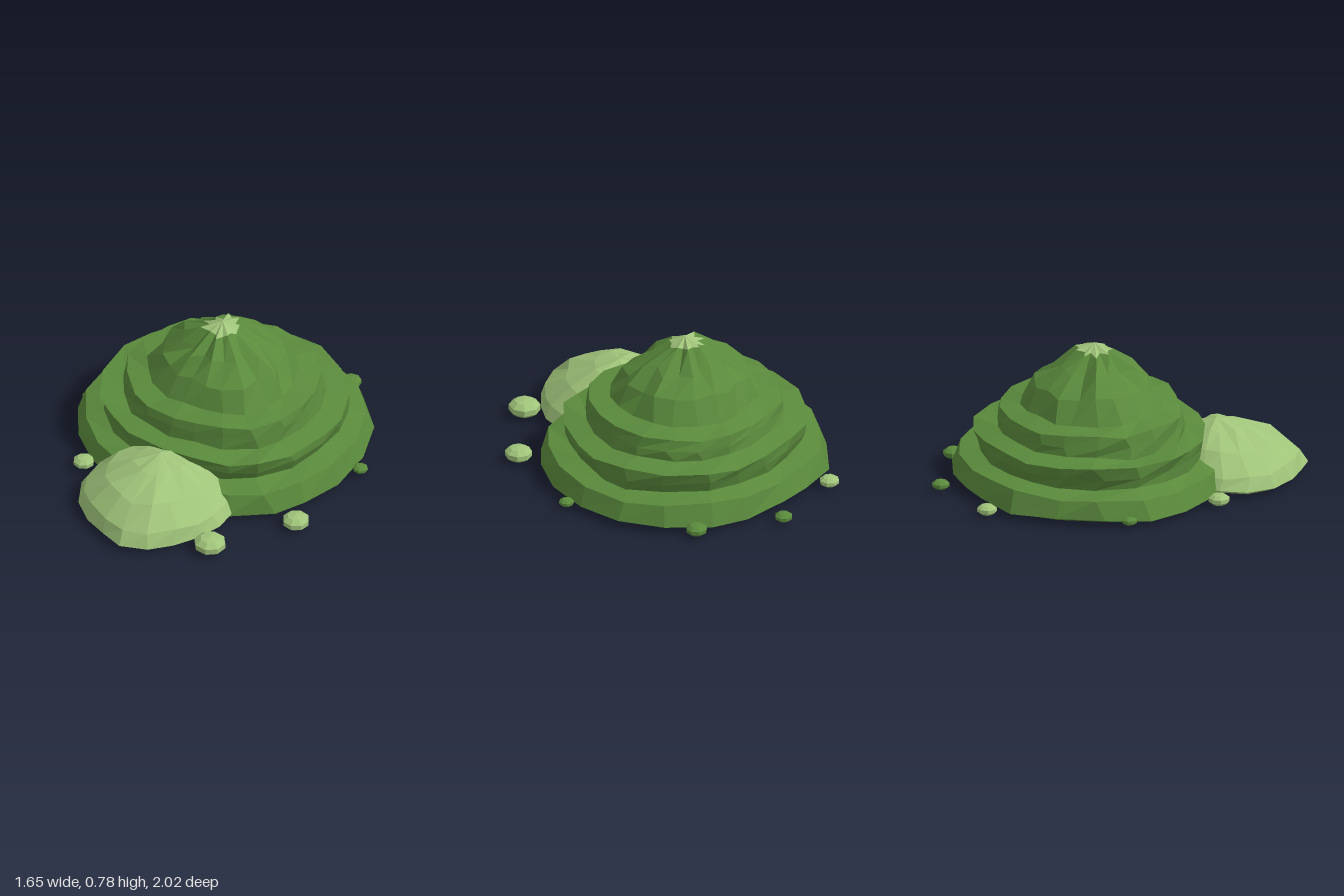
import * as THREE from 'three';

const DARK = 0x5a8a3c, LIGHT = 0xa0c47a;

function seeded(seed) {
  return () => {
    seed = (seed * 16807) % 2147483647;
    return (seed / 2147483647) * 2 - 1; // -1 .. 1
  };
}

const material = (color) => new THREE.MeshStandardMaterial({ color, flatShading: true });

// One ring per profile row [scale, y, radial jitter, height jitter, dx, dz], following an outline of radii
function makeRings(outline, profile, rand) {
  const n = outline.length;
  return profile.map(([scale, y, jr = 0, jy = 0, dx = 0, dz = 0]) =>
    outline.map((radius, j) => {
      const a = ((j + (scale ? rand() * 0.16 : 0)) / n) * Math.PI * 2;
      const r = radius * scale * (1 + jr * rand());
      return [dx + Math.cos(a) * r, y + jy * rand(), dz + Math.sin(a) * r];
    }));
}

// Skins consecutive rings with triangles; rings of zero radius act as poles
function skin(name, rings, color) {
  const pos = [];
  const same = (p, q) => Math.hypot(p[0] - q[0], p[1] - q[1], p[2] - q[2]) < 1e-6;
  for (let i = 0; i < rings.length - 1; i++) {
    const n = rings[i].length;
    for (let j = 0; j < n; j++) {
      const k = (j + 1) % n;
      const a = rings[i][j], b = rings[i][k], c = rings[i + 1][j], d = rings[i + 1][k];
      if (!same(a, b)) pos.push(...a, ...c, ...b);
      if (!same(c, d)) pos.push(...b, ...c, ...d);
    }
  }
  const geo = new THREE.BufferGeometry();
  geo.setAttribute('position', new THREE.Float32BufferAttribute(pos, 3));
  geo.computeVertexNormals();
  const mesh = new THREE.Mesh(geo, material(color));
  mesh.name = name;
  return mesh;
}

// Large terraced hill with a pale tip
function terracedHill() {
  const outline = [0.79, 0.78, 0.78, 0.78, 0.75, 0.70, 0.70, 0.72, 0.75, 0.77,
    0.80, 0.78, 0.77, 0.78, 0.74, 0.74, 0.76, 0.785, 0.80, 0.81];
  const rings = makeRings(outline, [
    [0, 0.025],
    [0.93, 0.022, 0.01, 0.008],
    [1.0, 0.045, 0.005, 0.012],    // lowest terrace
    [0.955, 0.15, 0.012, 0.012],
    [0.81, 0.175, 0.02, 0.012],    // middle terrace
    [0.83, 0.23, 0.012, 0.01],
    [0.845, 0.29, 0.015, 0.013],
    [0.69, 0.31, 0.015, 0.01],     // upper terrace
    [0.68, 0.37, 0.015, 0.012],
    [0.665, 0.425, 0.015, 0.013],
    [0.515, 0.445, 0.03, 0.01],    // peak
    [0.42, 0.565, 0.05, 0.02],
    [0.265, 0.655, 0.13, 0.02],
    [0.115, 0.743, 0.2, 0.012],
    [0, 0.782],
  ], seeded(4211));
  // Folds running down the peak
  for (const [i, fold] of [[11, 0.03], [12, 0.1], [13, 0.14]]) {
    rings[i].forEach((p, j) => {
      const s = 1 + (j % 2 ? fold : -fold);
      p[0] *= s;
      p[2] *= s;
    });
  }
  const hill = new THREE.Group();
  hill.name = 'terracedHill';
  hill.add(skin('hillBody', rings.slice(0, -1), DARK), skin('hillTip', rings.slice(-2), LIGHT));
  hill.position.set(-0.02, 0, -0.12);
  return hill;
}

// Pale smooth mound leaning against the front
function sideMound() {
  const outline = [0.42, 0.41, 0.40, 0.41, 0.45, 0.46, 0.43, 0.42, 0.43,
    0.44, 0.42, 0.40, 0.38, 0.38, 0.38, 0.39, 0.40, 0.41];
  const rings = makeRings(outline, [
    [0, 0.018],
    [0.9, 0.02, 0.02, 0.01],
    [1.0, 0.045, 0.01, 0.01],
    [0.92, 0.115, 0.02, 0.012],
    [0.66, 0.215, 0.04, 0.012],
    [0.32, 0.285, 0.08, 0.01, 0, -0.02],
    [0, 0.33, 0, 0, 0, -0.035],
  ], seeded(977));
  const mound = skin('sideMound', rings, LIGHT);
  mound.position.set(-0.17, 0, 0.555);
  return mound;
}

// Small flattened stones scattered round the foot: x, z, radius, colour
function stones() {
  const group = new THREE.Group();
  group.name = 'stones';
  const list = [
    [0.21, 0.86, 0.09, LIGHT], [0.59, 0.53, 0.077, LIGHT], [-0.65, 0.36, 0.06, LIGHT],
    [-0.37, -0.86, 0.056, LIGHT], [-0.33, 0.82, 0.06, LIGHT], [0.08, -0.96, 0.05, DARK],
    [0.51, -0.73, 0.06, DARK], [-0.785, -0.2, 0.045, DARK], [0.782, -0.02, 0.042, DARK],
  ];
  list.forEach(([x, z, r, color], i) => {
    const stone = new THREE.Mesh(new THREE.SphereGeometry(r, 8, 5), material(color));
    stone.name = 'stone' + (i + 1);
    stone.scale.y = 0.55;
    stone.rotation.y = i * 0.7;
    stone.position.set(x, 0.03 + r * 0.25, z);
    group.add(stone);
  });
  // Keeps the half-buried stone just showing under the mound
  group.children[4].position.y = 0.04;
  return group;
}

export function createModel() {
  const model = new THREE.Group();
  model.name = 'hills';
  model.add(terracedHill(), sideMound(), stones());
  // Rest the lowest point on the ground
  model.updateMatrixWorld(true);
  const low = new THREE.Box3().setFromObject(model, true).min.y;
  model.children.forEach((c) => { c.position.y -= low; });
  return model;
}
